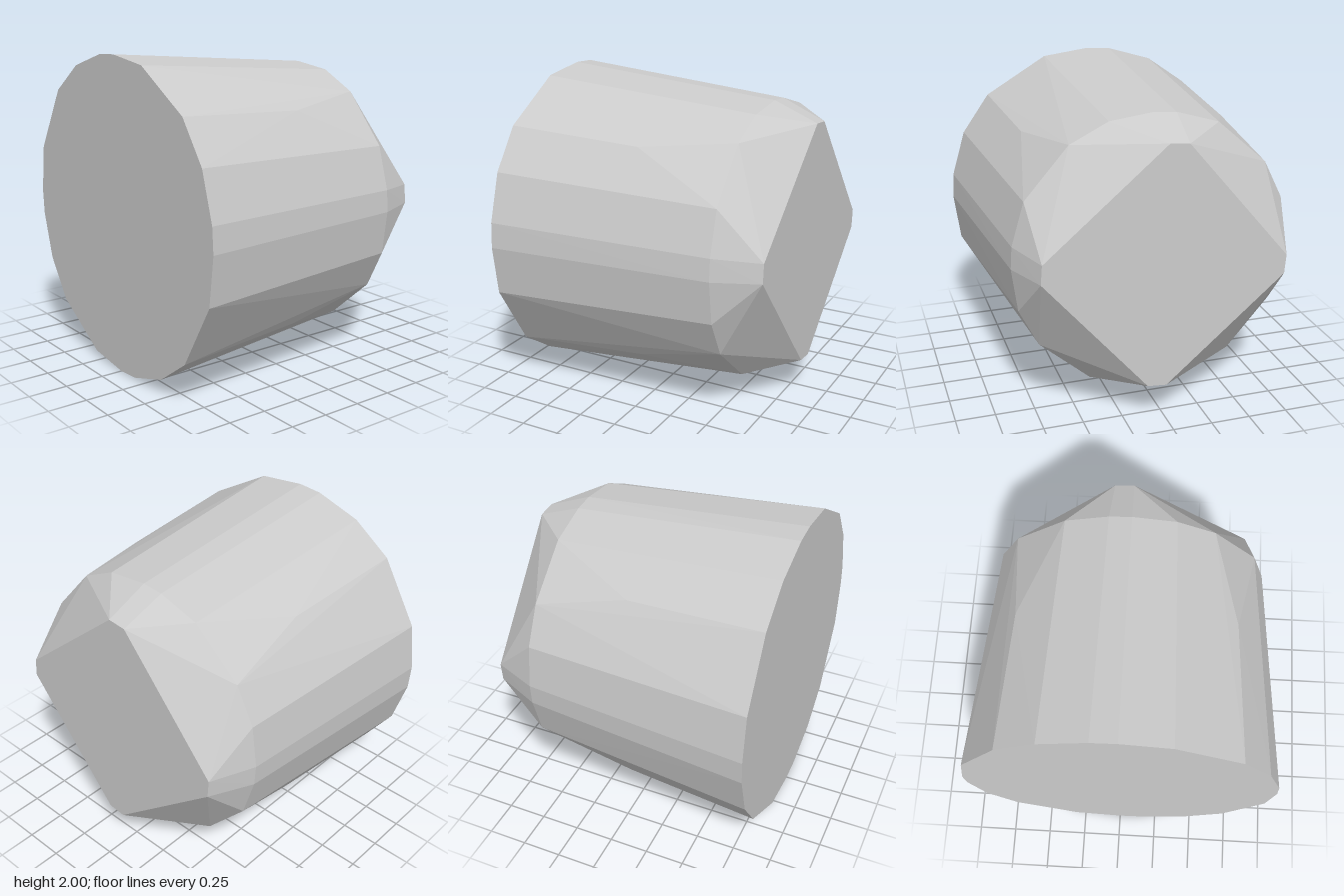
import * as THREE from 'three';
import { ConvexGeometry } from 'three/addons/geometries/ConvexGeometry.js';

// Repeat one quarter of a cross-section around the z axis, centred at y = 1.
function ring(quarter, z) {
  const points = [];
  for (let i = 0; i < 4; i++) {
    for (const [x, y] of quarter) {
      const p = new THREE.Vector2(x, y).rotateAround(new THREE.Vector2(), i * Math.PI / 2);
      points.push(new THREE.Vector3(p.x, p.y + 1, z));
    }
  }
  return points;
}

export function createModel() {
  const group = new THREE.Group();
  group.name = 'taperedPlug';

  const sections = [
    // wide flat front face
    ...ring([[1, 0], [0.99, 0.16], [0.9, 0.46], [0.72, 0.715], [0.31, 0.96]], 0.86),
    // slight diagonal bulges halfway along the side
    ...ring([[0.67, 0.67]], 0),
    // shoulder where the taper steepens
    ...ring([[0.88, 0], [0.87, 0.14], [0.79, 0.41], [0.515, 0.725], [0.275, 0.845]], -0.58),
    // diamond-shaped back face with clipped corners
    ...ring([[0.765, 0], [0.755, 0.12]], -0.86),
  ];

  const body = new THREE.Mesh(
    new ConvexGeometry(sections),
    new THREE.MeshStandardMaterial({ color: 0xcccccc, flatShading: true })
  );
  body.name = 'body';
  group.add(body);
  return group;
}
